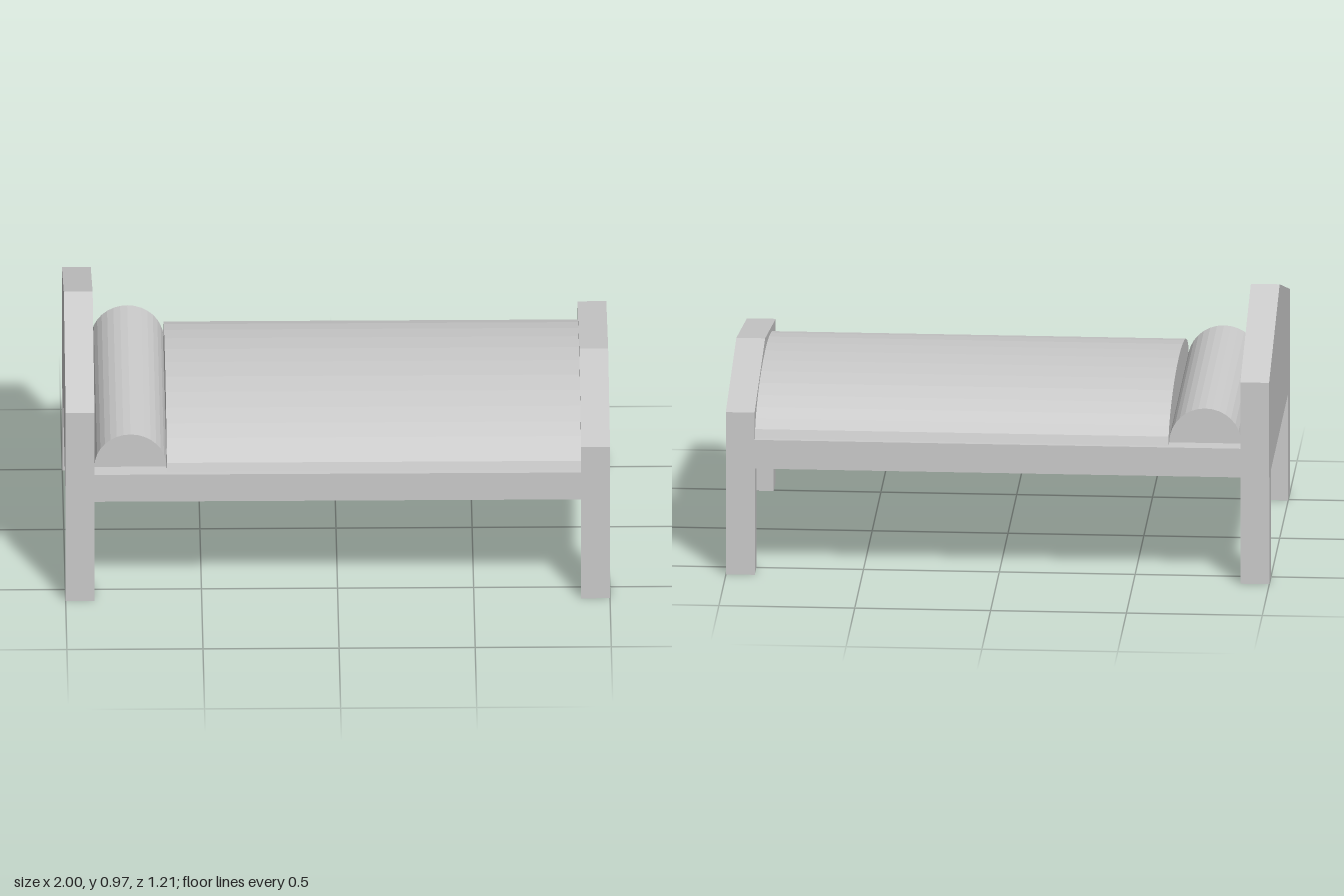
import * as THREE from 'three';

const material = new THREE.MeshStandardMaterial({ color: 0xcccccc, flatShading: true });

export function createModel() {
  const bed = new THREE.Group();
  bed.name = 'bed';

  const add = (name, geometry, x, y, z) => {
    const mesh = new THREE.Mesh(geometry, material);
    mesh.name = name;
    mesh.position.set(x, y, z);
    bed.add(mesh);
    return mesh;
  };

  const thick = 0.106, halfWidth = 0.607, baseY = 0.41, deckY = 0.52;

  // Gabled end boards: a house-shaped outline in z-y, extruded along x
  const endBoard = (name, x, sideY, peakY) => {
    const outline = new THREE.Shape([
      new THREE.Vector2(-halfWidth, baseY),
      new THREE.Vector2(halfWidth, baseY),
      new THREE.Vector2(halfWidth, sideY),
      new THREE.Vector2(0, peakY),
      new THREE.Vector2(-halfWidth, sideY),
    ]);
    const geometry = new THREE.ExtrudeGeometry(outline, { depth: thick, bevelEnabled: false });
    add(name, geometry.rotateY(Math.PI / 2), x, 0, 0);
  };
  endBoard('headboard', -1, 0.775, 0.973);
  endBoard('footboard', 1 - thick, 0.625, 0.73);

  // Slab between the end boards
  add('bedBase', new THREE.BoxGeometry(2 - 2 * thick, deckY - baseY, 2 * halfWidth - 0.004),
    0, (baseY + deckY) / 2, 0);

  // Square legs at the corners
  for (const sx of [-1, 1]) {
    for (const sz of [-1, 1]) {
      add(`${sx < 0 ? 'head' : 'foot'}${sz < 0 ? 'Back' : 'Front'}Leg`,
        new THREE.BoxGeometry(thick, baseY, thick),
        sx * (1 - thick / 2), baseY / 2, sz * 0.542);
    }
  }

  // Half-ellipse prism with its flat side down, running along z
  const halfRound = (halfSpan, height, length) => {
    const points = [];
    for (let i = 0; i <= 16; i++) {
      const a = (i / 16) * Math.PI;
      points.push(new THREE.Vector2(halfSpan * Math.cos(a), height * Math.sin(a)));
    }
    const geometry = new THREE.ExtrudeGeometry(new THREE.Shape(points), {
      depth: length, bevelEnabled: false,
    });
    return geometry.translate(0, 0, -length / 2);
  };

  // Bolster pillow across the bed, blanket lengthways
  add('pillow', halfRound(0.133, 0.132, 1.076), -0.761, deckY, 0);
  add('blanket', halfRound(0.584, 0.163, 1.522).rotateY(Math.PI / 2), 0.133, deckY, 0);

  return bed;
}
